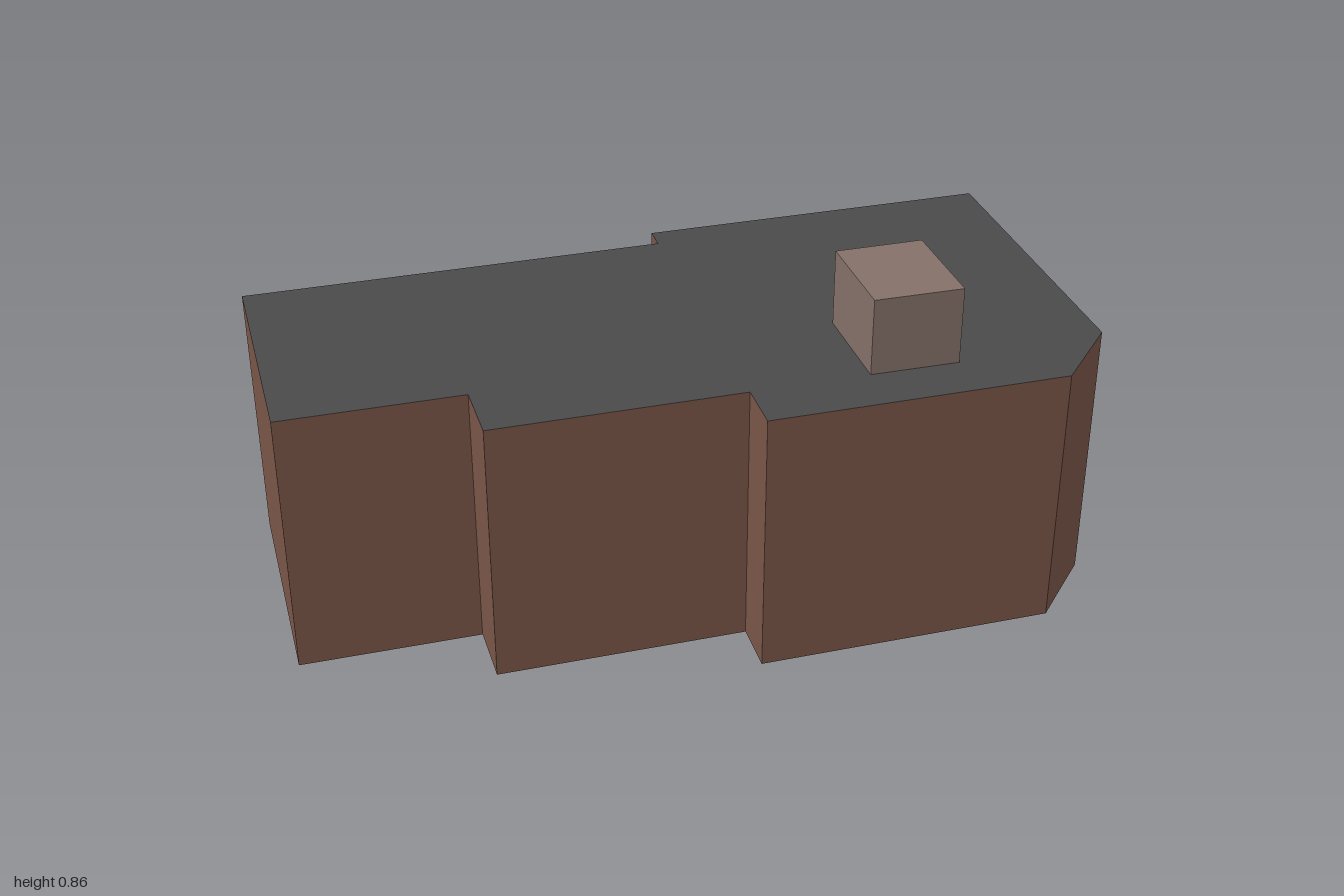
import * as THREE from 'three';

const WALL_TOP = 0.665;
const CHIMNEY_TOP = 0.855;

// Footprints as [x, z], running left to right along the front, then back
const housePlan = [
  [-0.925, -0.56], [-1, 0.055], [-0.565, 0.108], [-0.583, 0.27], [0.02, 0.343],
  [0.003, 0.473], [0.723, 0.56], [0.9, 0.41], [1, -0.393], [0.125, -0.498], [0.117, -0.436],
];
const chimneyPlan = [[0.336, 0.122], [0.305, 0.378], [0.519, 0.406], [0.549, 0.148]];

// Upright walls around a footprint, open above and below
function wallGeometry(plan, y0, y1) {
  const positions = [];
  plan.forEach(([ax, az], i) => {
    const [bx, bz] = plan[(i + 1) % plan.length];
    positions.push(ax, y0, az, bx, y0, bz, bx, y1, bz);
    positions.push(ax, y0, az, bx, y1, bz, ax, y1, az);
  });
  const geometry = new THREE.BufferGeometry();
  geometry.setAttribute('position', new THREE.Float32BufferAttribute(positions, 3));
  geometry.computeVertexNormals();
  return geometry;
}

// Flat lid over a footprint
function lidGeometry(plan, y) {
  const shape = new THREE.Shape(plan.map(([x, z]) => new THREE.Vector2(x, -z)));
  return new THREE.ShapeGeometry(shape).rotateX(-Math.PI / 2).translate(0, y, 0);
}

function material(name, color) {
  const m = new THREE.MeshStandardMaterial({ color, side: THREE.DoubleSide });
  m.name = name;
  return m;
}

export function createModel() {
  const brick = material('brown brick', 0x795548);
  const slate = material('dark grey roof', 0x4a4a4a);
  const stone = material('chimney stone', 0x847069);

  const model = new THREE.Group();
  model.name = 'house';
  const add = (name, geometry, mat, parent = model) => {
    const mesh = new THREE.Mesh(geometry, mat);
    mesh.name = name;
    parent.add(mesh);
  };

  // House body, open underneath
  add('walls', wallGeometry(housePlan, 0, WALL_TOP), brick);
  add('roof', lidGeometry(housePlan, WALL_TOP), slate);

  // Chimney standing on the roof
  const chimney = new THREE.Group();
  chimney.name = 'chimney';
  add('chimneyWalls', wallGeometry(chimneyPlan, WALL_TOP, CHIMNEY_TOP), stone, chimney);
  add('chimneyTop', lidGeometry(chimneyPlan, CHIMNEY_TOP), stone, chimney);
  model.add(chimney);

  return model;
}
